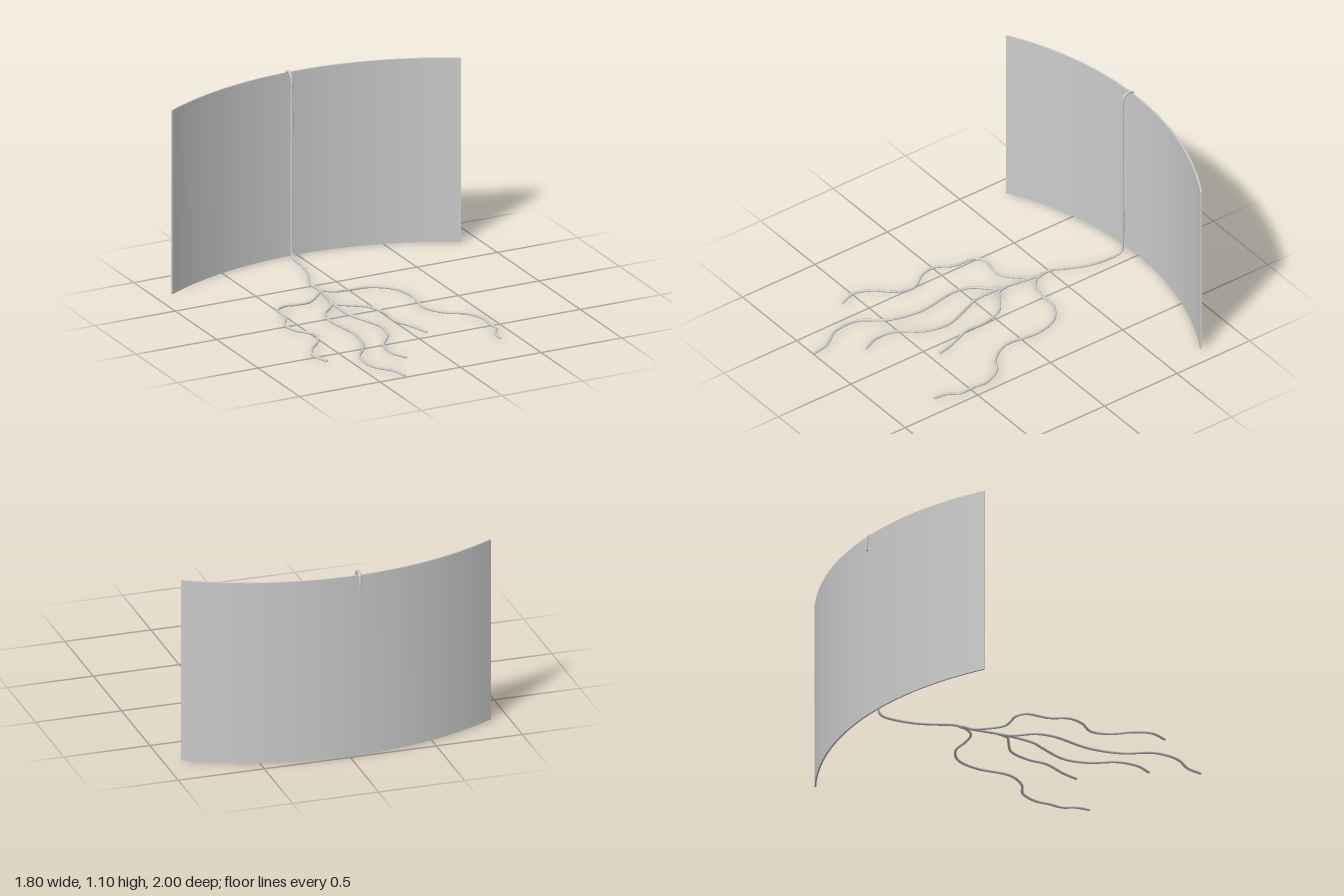
import * as THREE from 'three';
import { toCreasedNormals } from 'three/addons/utils/BufferGeometryUtils.js';

const CABLE_RADIUS = 0.0075;
const material = new THREE.MeshStandardMaterial({ color: 0xcccccc, side: THREE.DoubleSide });

// Curved upright panel: a thin ring sector extruded upward
function makePanel() {
  const half = Math.asin(0.9 / 1.81), centre = -0.823;
  const a = Math.PI / 2 - half, b = Math.PI / 2 + half;
  const shape = new THREE.Shape();
  shape.absarc(0, centre, 1.81, a, b, false);
  shape.absarc(0, centre, 1.8, b, a, true);
  shape.closePath();
  const geo = new THREE.ExtrudeGeometry(shape, { depth: 1.085, bevelEnabled: false, curveSegments: 32 });
  geo.rotateX(-Math.PI / 2);
  const mesh = new THREE.Mesh(toCreasedNormals(geo, 0.5), material);
  mesh.name = 'curvedPanel';
  return mesh;
}

// Round cable through points, closed by a rounded tip at both ends
function makeCable(name, points) {
  const group = new THREE.Group();
  group.name = name;
  const curve = new THREE.CatmullRomCurve3(points, false, 'centripetal');
  const tube = new THREE.Mesh(new THREE.TubeGeometry(curve, points.length * 9, CABLE_RADIUS, 10), material);
  tube.name = name + 'Strand';
  group.add(tube);
  for (const p of [points[0], points[points.length - 1]]) {
    const tip = new THREE.Mesh(new THREE.SphereGeometry(CABLE_RADIUS, 10, 6), material);
    tip.position.copy(p);
    tip.name = name + 'Tip';
    group.add(tip);
  }
  return group;
}

// Floor path given as [x, z] pairs, sinking from the start height to the floor
function floorPath(pairs, startY, endY = 0.008) {
  return pairs.map(([x, z], i) => {
    const t = Math.min(1, i / (pairs.length * 0.7));
    return new THREE.Vector3(x, THREE.MathUtils.lerp(startY, endY, t), z);
  });
}

export function createModel() {
  const model = new THREE.Group();
  model.name = 'panelWithBranchingCable';
  model.add(makePanel());

  // Main cable: hooks over the panel, drops down its front and runs out on the floor
  const drop = [
    [1.0, -0.993], [1.06, -0.993], [1.082, -0.988], [1.094, -0.972], [1.095, -0.95],
    [1.085, -0.932], [1.06, -0.922], [0.95, -0.92], [0.5, -0.92], [0.1, -0.92],
    [0.04, -0.917], [0.018, -0.902], [0.01, -0.87],
  ].map(([y, z]) => new THREE.Vector3(-0.06, y, z));
  const trunk = [
    [-0.065, -0.79, 0.008], [-0.085, -0.69, 0.008], [-0.125, -0.59, 0.01], [-0.162, -0.5, 0.014],
    [-0.16, -0.41, 0.016], [-0.175, -0.3, 0.017], [-0.19, -0.19, 0.018], [-0.193, 0, 0.014],
    [-0.165, 0.08, 0.01], [-0.11, 0.25, 0.008], [-0.14, 0.39, 0.008], [-0.23, 0.52, 0.008],
    [-0.245, 0.64, 0.008], [-0.205, 0.74, 0.008],
  ].map(([x, z, y]) => new THREE.Vector3(x, y, z));
  model.add(makeCable('mainCable', [...drop, ...trunk]));

  // Side branches winding across the floor
  model.add(makeCable('outerRightBranch', floorPath([
    [-0.163, -0.44], [-0.165, -0.38], [-0.21, -0.32], [-0.3, -0.248], [-0.37, -0.25], [-0.44, -0.262],
    [-0.5, -0.23], [-0.52, -0.1], [-0.575, 0], [-0.56, 0.09], [-0.495, 0.19], [-0.52, 0.29],
    [-0.615, 0.4], [-0.65, 0.49], [-0.62, 0.59],
  ], 0.018)));
  model.add(makeCable('outerLeftBranch', floorPath([
    [-0.163, -0.46], [-0.15, -0.4], [-0.1, -0.345], [-0.01, -0.325], [0.11, -0.315], [0.215, -0.235],
    [0.253, -0.1], [0.235, 0.11], [0.305, 0.23], [0.4, 0.295], [0.445, 0.4], [0.44, 0.49],
    [0.44, 0.57], [0.4, 0.64], [0.39, 0.715],
  ], 0.014, 0.011)));
  model.add(makeCable('innerRightBranch', floorPath([
    [-0.188, -0.21], [-0.21, -0.15], [-0.3, -0.05], [-0.325, 0.05], [-0.295, 0.3], [-0.34, 0.49],
    [-0.435, 0.63], [-0.435, 0.78], [-0.36, 0.9], [-0.342, 0.99],
  ], 0.016)));
  model.add(makeCable('innerLeftBranch', floorPath([
    [-0.188, -0.22], [-0.175, -0.155], [-0.12, -0.113], [-0.035, -0.045], [0.002, 0.08],
    [-0.002, 0.2], [0.05, 0.34], [0.074, 0.44],
  ], 0.016)));
  return model;
}
